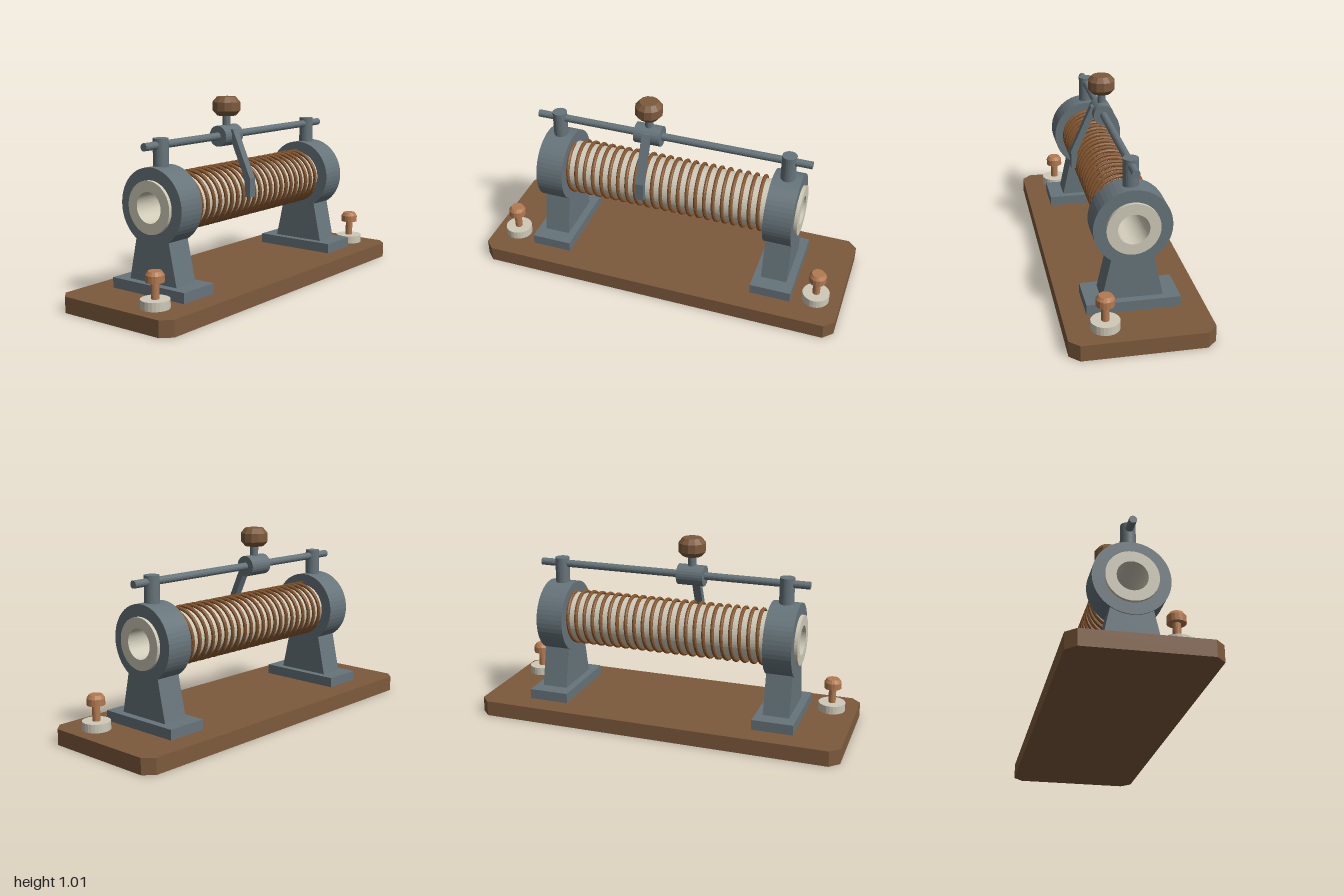
import * as THREE from 'three';

const mat = (color) => new THREE.MeshStandardMaterial({ color, flatShading: true });
const steel = mat(0x66747a), wood = mat(0x7d5a3c), ceramic = mat(0xcfcab8);
const copper = mat(0xb27a50), wire = mat(0x85562f);

const AXIS_Y = 0.516, ROD_Y = 0.813, BASE_TOP = 0.083;

function add(parent, name, geometry, material, x = 0, y = 0, z = 0) {
  const mesh = new THREE.Mesh(geometry, material);
  mesh.name = name;
  mesh.position.set(x, y, z);
  parent.add(mesh);
  return mesh;
}

// Cylinder standing on its bottom end
const post = (r, h, n = 24) => new THREE.CylinderGeometry(r, r, h, n).translate(0, h / 2, 0);
// Cylinder lying along x
const bar = (r, l, n = 24) => new THREE.CylinderGeometry(r, r, l, n).rotateZ(-Math.PI / 2);
const lathe = (pts, n) => new THREE.LatheGeometry(pts.map((p) => new THREE.Vector2(...p)), n);
// Hollow cylinder along x
const ring = (inner, outer, l, n) => lathe([
  [inner, -l / 2], [outer, -l / 2], [outer, l / 2], [inner, l / 2], [inner, -l / 2],
], n).rotateZ(-Math.PI / 2);

// Outline in (z, y), extruded along x and centred
function sideExtrude(pts, width) {
  const shape = new THREE.Shape(pts.map(([z, y]) => new THREE.Vector2(-z, y)));
  return new THREE.ExtrudeGeometry(shape, { depth: width, bevelEnabled: false })
    .translate(0, 0, -width / 2).rotateY(Math.PI / 2);
}

// Evenly wound wire running along x
class Helix extends THREE.Curve {
  constructor(radius, length, turns) {
    super();
    Object.assign(this, { radius, length, turns });
  }
  getPoint(t, target = new THREE.Vector3()) {
    const a = t * this.turns * Math.PI * 2;
    return target.set((t - 0.5) * this.length, this.radius * Math.cos(a), this.radius * Math.sin(a));
  }
}

function createStand(x) {
  const stand = new THREE.Group();
  stand.name = 'stand';
  stand.position.x = x;
  add(stand, 'foot', new THREE.BoxGeometry(0.22, 0.054, 0.47), steel, 0, BASE_TOP + 0.027);
  add(stand, 'pedestal', sideExtrude([[-0.153, 0.137], [0.153, 0.137], [0.102, 0.37], [-0.102, 0.37]], 0.14), steel);
  add(stand, 'clampRing', ring(0.132, 0.195, 0.15, 48), steel, 0, AXIS_Y);
  add(stand, 'rodPost', post(0.039, 0.148), steel, 0, 0.698);
  return stand;
}

function createTerminal(x) {
  const terminal = new THREE.Group();
  terminal.name = 'terminal';
  terminal.position.set(x, BASE_TOP, 0.166);
  add(terminal, 'insulator', post(0.072, 0.044), ceramic);
  add(terminal, 'stem', post(0.02, 0.14, 16), copper);
  add(terminal, 'cap', lathe([[0, 0.126], [0.046, 0.126], [0.046, 0.161], [0.033, 0.179], [0, 0.179]], 16), copper);
  return terminal;
}

function createSlider(x) {
  const slider = new THREE.Group();
  slider.name = 'slider';
  slider.position.x = x;
  add(slider, 'collar', bar(0.055, 0.145), steel, 0, ROD_Y);
  add(slider, 'knobStem', post(0.022, 0.085, 16), steel, 0, 0.845);
  add(slider, 'knob', lathe([[0, 0.917], [0.05, 0.917], [0.073, 0.942], [0.073, 0.988], [0.05, 1.015], [0, 1.015]], 12), wood);
  // Bent contact arm reaching down to the winding
  add(slider, 'contactArm', sideExtrude([
    [0.022, 0.847], [0.137, 0.592], [0.137, 0.5], [0.171, 0.5], [0.171, 0.6], [0.06, 0.847],
  ], 0.043), steel);
  return slider;
}

export function createModel() {
  const model = new THREE.Group();
  model.name = 'slidingResistor';

  // Base board with clipped corners
  const w = 1, d = 0.357, c = 0.05;
  const outline = new THREE.Shape([
    [-w + c, -d], [w - c, -d], [w, -d + c], [w, d - c], [w - c, d], [-w + c, d], [-w, d - c], [-w, -d + c],
  ].map((p) => new THREE.Vector2(...p)));
  add(model, 'baseBoard', new THREE.ExtrudeGeometry(outline, { depth: BASE_TOP, bevelEnabled: false })
    .rotateX(-Math.PI / 2), wood);

  // Supports and terminals at both ends
  for (const side of [-1, 1]) {
    model.add(createStand(side * 0.632));
    model.add(createTerminal(side * 0.867));
  }

  // Ceramic tube with its winding
  add(model, 'ceramicTube', ring(0.078, 0.133, 1.45, 48), ceramic, 0, AXIS_Y);
  add(model, 'winding', new THREE.TubeGeometry(new Helix(0.142, 1.11, 23), 23 * 32, 0.01, 8), wire, 0, AXIS_Y);

  // Guide rod and slider
  add(model, 'guideRod', bar(0.02, 1.505, 16), steel, 0, ROD_Y);
  model.add(createSlider(-0.12));
  return model;
}
